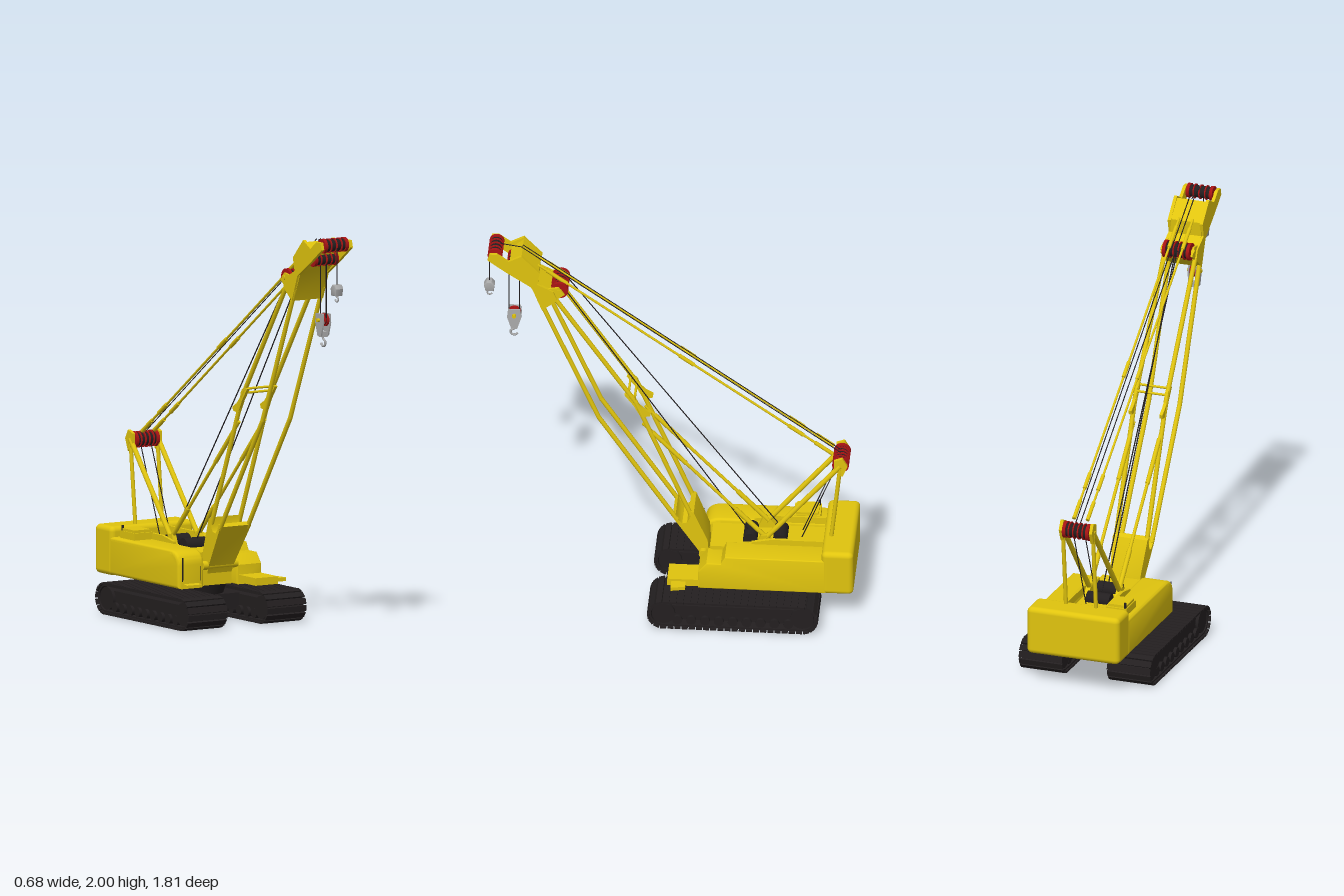
import * as THREE from 'three';
import { RoundedBoxGeometry } from 'three/addons/geometries/RoundedBoxGeometry.js';
import { toCreasedNormals } from 'three/addons/utils/BufferGeometryUtils.js';

const mat = (color) => new THREE.MeshStandardMaterial({ color });
const yellow = mat(0xe0c40e), red = mat(0xa81414), black = mat(0x231f20), grey = mat(0xaaaaaa);
const V = (x, y, z) => new THREE.Vector3(x, y, z);

export function createModel() {
  const model = new THREE.Group();
  const group = (name) => {
    const g = new THREE.Group();
    g.name = name;
    model.add(g);
    return g;
  };
  const add = (parent, name, geo, material, x = 0, y = 0, z = 0) => {
    const m = new THREE.Mesh(geo, material);
    m.name = name;
    m.position.set(x, y, z);
    parent.add(m);
    return m;
  };
  // Box given by its limits
  const box = (parent, name, material, x0, x1, y0, y1, z0, z1) =>
    add(parent, name, new THREE.BoxGeometry(x1 - x0, y1 - y0, z1 - z0), material,
      (x0 + x1) / 2, (y0 + y1) / 2, (z0 + z1) / 2);
  // Side profile (a shape or [z, y] points), spread over x0..x1
  const plate = (parent, name, material, pts, x0, x1, bevel = 0) => {
    const shape = Array.isArray(pts) ? new THREE.Shape(pts.map(([z, y]) => new THREE.Vector2(z, y))) : pts;
    const geo = new THREE.ExtrudeGeometry(shape, {
      depth: x1 - x0 - 2 * bevel, bevelEnabled: bevel > 0, bevelSize: bevel, bevelOffset: -bevel,
      bevelThickness: bevel, bevelSegments: 4, curveSegments: 12 });
    geo.translate(0, 0, bevel - (x1 - x0) / 2).rotateY(-Math.PI / 2);
    return add(parent, name, toCreasedNormals(geo, 0.6), material, (x0 + x1) / 2);
  };
  const rod = (parent, name, material, a, b, r, sides = 10) => {
    const d = b.clone().sub(a);
    const m = add(parent, name, new THREE.CylinderGeometry(r, r, d.length(), sides), material);
    m.position.copy(a).addScaledVector(d, 0.5);
    m.quaternion.setFromUnitVectors(V(0, 1, 0), d.normalize());
    return m;
  };
  const axle = (parent, name, material, x0, x1, y, z, r, sides = 24) =>
    rod(parent, name, material, V(x0, y, z), V(x1, y, z), r, sides);
  // Row of grooved pulleys with rope in the grooves
  const sheaves = (parent, y, z, half, r, n) => {
    axle(parent, 'sheaveRope', black, -half, half, y, z, r * 0.82);
    for (let i = 0; i < n; i++) {
      const x = -half + (2 * half * i) / (n - 1), t = i === 0 || i === n - 1 ? 0.008 : 0.003;
      axle(parent, 'sheaveFlange', red, x - t, x + t, y, z, r);
    }
    axle(parent, 'sheaveAxle', yellow, -half - 0.025, half + 0.025, y, z, r * 0.3);
  };

  // Crawler tracks: stadium belt, shoes, side frame and wheels
  const zF = 0.012, zB = -0.662, cy = 0.079, len = zF - zB;
  const stadium = (r, Type = THREE.Shape) => {
    const s = new Type();
    s.absarc(zF, cy, r, -Math.PI / 2, Math.PI / 2, false);
    s.absarc(zB, cy, r, Math.PI / 2, Math.PI * 1.5, false);
    s.closePath();
    return s;
  };
  for (const s of [-1, 1]) {
    const g = group(s < 0 ? 'rightTrack' : 'leftTrack');
    const inner = Math.min(s * 0.125, s * 0.33), outer = Math.max(s * 0.125, s * 0.33);
    const belt = stadium(0.07);
    belt.holes.push(stadium(0.06, THREE.Path));
    plate(g, 'trackBelt', black, belt, inner, outer);
    plate(g, 'trackFrame', black, stadium(0.04), inner + 0.02, outer - 0.02);
    for (let i = 0; i < 11; i++) {
      const end = i === 0 || i === 10;
      axle(g, 'roadWheel', black, inner + 0.005, outer - 0.005, end ? cy : 0.042,
        zF - (len * i) / 10, end ? 0.057 : 0.024, 16);
    }
    // Shoes spaced evenly round the belt
    const R = 0.073, arc = Math.PI * R, total = 2 * len + 2 * arc, n = 52;
    for (let i = 0; i < n; i++) {
      let d = (total * i) / n, z, y, a;
      if (d < len) { z = zB + d; y = cy + R; a = 0; }
      else if (d < len + arc) { a = (d - len) / R; z = zF + R * Math.sin(a); y = cy + R * Math.cos(a); }
      else if (d < 2 * len + arc) { z = zF - (d - len - arc); y = cy - R; a = Math.PI; }
      else { a = Math.PI + (d - 2 * len - arc) / R; z = zB + R * Math.sin(a); y = cy + R * Math.cos(a); }
      const shoe = add(g, 'trackShoe', new THREE.BoxGeometry(0.225, 0.01, 0.029), black, s * 0.2285, y, z);
      shoe.rotation.x = a;
    }
  }

  // Carbody between the tracks and slewing ring
  const base = group('carbody');
  box(base, 'carbodyBeam', black, -0.15, 0.15, 0.05, 0.125, -0.45, -0.21);
  add(base, 'slewingRing', new THREE.CylinderGeometry(0.13, 0.11, 0.06, 40), black, 0, 0.15, -0.33);

  // Upper house
  const house = group('upperHouse');
  add(house, 'counterweight', new RoundedBoxGeometry(0.48, 0.24, 0.155, 4, 0.025), yellow, 0, 0.29, -0.827);
  box(house, 'centreDeck', yellow, -0.1, 0.11, 0.175, 0.34, -0.77, -0.2);
  plate(house, 'leftBody', yellow, [[-0.77, 0.175], [-0.15, 0.175], [-0.15, 0.27], [-0.19, 0.32],
    [-0.26, 0.32], [-0.28, 0.36], [-0.77, 0.36]], 0.095, 0.237, 0.006);
  box(house, 'leftPlatform', yellow, 0.105, 0.235, 0.185, 0.222, -0.16, 0);
  const step = new THREE.Shape([[0.23, 0.09], [0.28, 0.09], [0.295, 0.02], [0.23, 0.02]]
    .map(([x, z]) => new THREE.Vector2(x, z)));
  add(house, 'sideStep', new THREE.ExtrudeGeometry(step, { depth: 0.018, bevelEnabled: false })
    .rotateX(-Math.PI / 2), yellow, 0, 0.192, 0);
  // Cab side with rounded nose
  const cab = new THREE.Shape();
  cab.moveTo(-0.77, 0.175).lineTo(-0.155, 0.175).lineTo(-0.155, 0.29);
  cab.quadraticCurveTo(-0.16, 0.36, -0.24, 0.36).lineTo(-0.77, 0.36);
  plate(house, 'cabBody', yellow, cab, -0.24, -0.09, 0.018);
  plate(house, 'cabStep', yellow, [[-0.16, 0.18], [-0.125, 0.18], [-0.125, 0.195], [-0.16, 0.2]], -0.21, -0.125);
  for (const x of [-0.218, -0.115])
    box(house, 'cabFrontSeam', black, x - 0.0015, x + 0.0015, 0.21, 0.28, -0.157, -0.153);
  rod(house, 'cabHandrail', black, V(-0.222, 0.22, -0.145), V(-0.222, 0.33, -0.145), 0.003, 6);
  rod(house, 'exhaustPipe', black, V(-0.2, 0.36, -0.71), V(-0.2, 0.422, -0.71), 0.006);
  box(house, 'rearHatch', yellow, -0.21, -0.105, 0.355, 0.395, -0.72, -0.59);
  box(house, 'hatchLid', yellow, -0.205, -0.11, 0.395, 0.408, -0.71, -0.6);
  for (const x of [-0.11, 0.095])
    plate(house, 'deckRail', yellow, [[-0.76, 0.35], [-0.4, 0.35], [-0.4, 0.37], [-0.5, 0.39], [-0.76, 0.39]],
      x, x + 0.015);
  for (const z of [-0.39, -0.535]) axle(house, 'winchDrum', black, -0.06, 0.06, 0.35, z, 0.035);
  axle(house, 'boomFootPin', yellow, -0.1, 0.1, 0.28, -0.165, 0.022);

  // Boom: foot, bent lattice chords, bracing and head
  const boom = group('boom');
  const foot = plate(boom, 'boomFoot', yellow, [[-0.16, 0.24], [-0.14, 0.285], [-0.015, 0.485], [-0.03, 0.5],
    [-0.042, 0.47], [-0.062, 0.45], [-0.085, 0.455], [-0.097, 0.48], [-0.095, 0.525], [-0.118, 0.515],
    [-0.185, 0.35], [-0.19, 0.27]], -0.09, 0.09);
  const p = foot.geometry.attributes.position;
  for (let i = 0; i < p.count; i++) // taper towards the pivot
    p.setX(i, p.getX(i) * THREE.MathUtils.mapLinear(Math.min(p.getY(i), 0.48), 0.24, 0.48, 0.78, 1));
  for (const s of [-1, 1]) {
    const x = s * 0.08;
    const front = [V(x, 0.47, -0.035), V(x, 1.05, 0.345), V(x, 1.73, 0.635)];
    const back = [V(x, 0.49, -0.107), V(x, 1.147, 0.165), V(x, 1.74, 0.56)];
    for (const chord of [front, back]) {
      for (let i = 0; i < 2; i++) rod(boom, 'boomChord', yellow, chord[i], chord[i + 1], 0.0115);
      add(boom, 'chordJoint', new THREE.SphereGeometry(0.0115, 10, 8), yellow, x, chord[1].y, chord[1].z);
    }
    plate(boom, 'chordLug', yellow, [[0.22, 1.19], [0.2, 1.2], [0.17, 1.18], [0.155, 1.14], [0.125, 1.11],
      [0.09, 1.09], [0.095, 1.07], [0.14, 1.065], [0.175, 1.13]], x - 0.008, x + 0.008);
    // Backstop: thick sleeve and slimmer rod
    const a = V(s * 0.075, 1.02, 0.13), b = V(s * 0.075, 0.38, -0.47), mid = a.clone().lerp(b, 0.35);
    rod(boom, 'backstopRod', yellow, a, b, 0.008);
    rod(boom, 'backstopSleeve', yellow, mid, a.clone().lerp(b, 0.08), 0.011);
    rod(boom, 'backstopSleeve', yellow, b, a.clone().lerp(b, 0.75), 0.012);
  }
  axle(boom, 'crossBar', yellow, -0.09, 0.09, 1.19, 0.2, 0.006, 10);
  axle(boom, 'crossBar', yellow, -0.09, 0.09, 1.165, 0.17, 0.006, 10);

  const head = group('boomHead');
  plate(head, 'headBox', yellow, [[0.62, 1.67], [0.545, 1.73], [0.56, 1.77], [0.64, 1.82], [0.635, 1.89],
    [0.72, 1.97], [0.78, 1.92], [0.76, 1.87], [0.68, 1.81]], -0.08, 0.08);
  for (const s of [-1, 1]) {
    plate(head, 'headCheek', yellow, [[0.62, 1.67], [0.545, 1.73], [0.565, 1.78], [0.645, 1.82], [0.63, 1.885],
      [0.72, 1.98], [0.785, 1.945], [0.84, 1.985], [0.875, 1.985], [0.885, 1.95], [0.865, 1.935],
      [0.79, 1.88], [0.67, 1.8]], s * 0.083 - 0.008, s * 0.083 + 0.008);
    plate(head, 'sheaveBracket', yellow, [[0.51, 1.76], [0.54, 1.8], [0.6, 1.79], [0.6, 1.74], [0.55, 1.73]],
      s * 0.078 - 0.005, s * 0.078 + 0.005);
  }
  sheaves(head, 1.964, 0.85, 0.06, 0.036, 5);
  sheaves(head, 1.885, 0.765, 0.06, 0.032, 5);
  sheaves(head, 1.775, 0.537, 0.062, 0.043, 6);

  // Gantry over the rear deck
  const gantry = group('gantry');
  for (const s of [-1, 1]) {
    const x = s * 0.078;
    rod(gantry, 'gantryFrontLeg', yellow, V(x, 0.37, -0.46), V(x, 0.82, -0.83), 0.013);
    rod(gantry, 'gantryBackLeg', yellow, V(x, 0.39, -0.785), V(x, 0.82, -0.83), 0.01);
    plate(gantry, 'gantryFoot', yellow, [[-0.52, 0.34], [-0.42, 0.34], [-0.445, 0.4], [-0.47, 0.4]], x - 0.012, x + 0.012);
    plate(gantry, 'gantryHeadPlate', yellow, [[-0.8, 0.8], [-0.8, 0.85], [-0.84, 0.865], [-0.865, 0.82], [-0.84, 0.76]],
      x - 0.008, x + 0.008);
  }
  sheaves(gantry, 0.815, -0.83, 0.06, 0.041, 6);

  // Pendant bars and ropes
  const rigging = group('rigging');
  for (const s of [-1, 1]) {
    const a = V(s * 0.035, 0.86, -0.79), b = V(s * 0.035, 1.9, 0.645);
    rod(rigging, 'pendantBar', yellow, a, b, 0.006, 8);
    for (const [t0, t1] of [[0, 0.06], [0.1, 0.15], [0.47, 0.52], [0.9, 0.97]])
      rod(rigging, 'pendantSocket', yellow, a.clone().lerp(b, t0), a.clone().lerp(b, t1), 0.01, 8);
    rod(rigging, 'upperRope', black, V(s * 0.012, 0.852, -0.83), V(s * 0.012, 1.98, 0.72), 0.0025, 6);
    rod(rigging, 'gantryRope', black, V(s * 0.03, 0.8, -0.815), V(s * 0.03, 0.36, -0.64), 0.0025, 6);
  }
  rod(rigging, 'mainHoistRope', black, V(0.012, 1.74, 0.51), V(0.012, 0.36, -0.39), 0.003, 6);
  rod(rigging, 'auxiliaryHoistRope', black, V(-0.012, 1.79, 0.495), V(-0.012, 0.39, -0.535), 0.003, 6);
  rod(rigging, 'headRope', black, V(0, 1.975, 0.72), V(0, 1.995, 0.85), 0.0025, 6);

  // Hook blocks
  const hook = (g, y, z, r) => {
    const pts = [[0, 1.6], [0, 0.8], [0.9, 0.2], [0.7, -0.8], [-0.2, -1], [-0.9, -0.4]];
    const curve = new THREE.CatmullRomCurve3(pts.map(([dz, dy]) => V(0, y + dy * r, z + dz * r)));
    add(g, 'hook', new THREE.TubeGeometry(curve, 20, r * 0.28, 8), grey);
  };
  const main = group('mainHookBlock');
  for (const z of [0.787, 0.735]) rod(main, 'hookRope', black, V(0, 1.6, z), V(0, 1.88, z), 0.0025, 6);
  for (const x of [-0.02, 0.02])
    plate(main, 'hookCheek', grey, [[0.745, 1.51], [0.775, 1.51], [0.795, 1.575], [0.79, 1.62], [0.73, 1.62],
      [0.725, 1.575]], x - 0.004, x + 0.004);
  sheaves(main, 1.588, 0.76, 0.012, 0.031, 2);
  box(main, 'hookSwivel', grey, -0.018, 0.018, 1.505, 1.53, 0.747, 0.773);
  hook(main, 1.48, 0.76, 0.02);
  const aux = group('auxiliaryHookBlock');
  rod(aux, 'hookRope', black, V(0, 1.75, 0.882), V(0, 1.965, 0.882), 0.0025, 6);
  plate(aux, 'hookBall', grey, [[0.86, 1.72], [0.9, 1.72], [0.908, 1.755], [0.895, 1.775], [0.87, 1.775],
    [0.855, 1.755]], -0.022, 0.022, 0.006);
  hook(aux, 1.705, 0.88, 0.014);

  return model;
}
